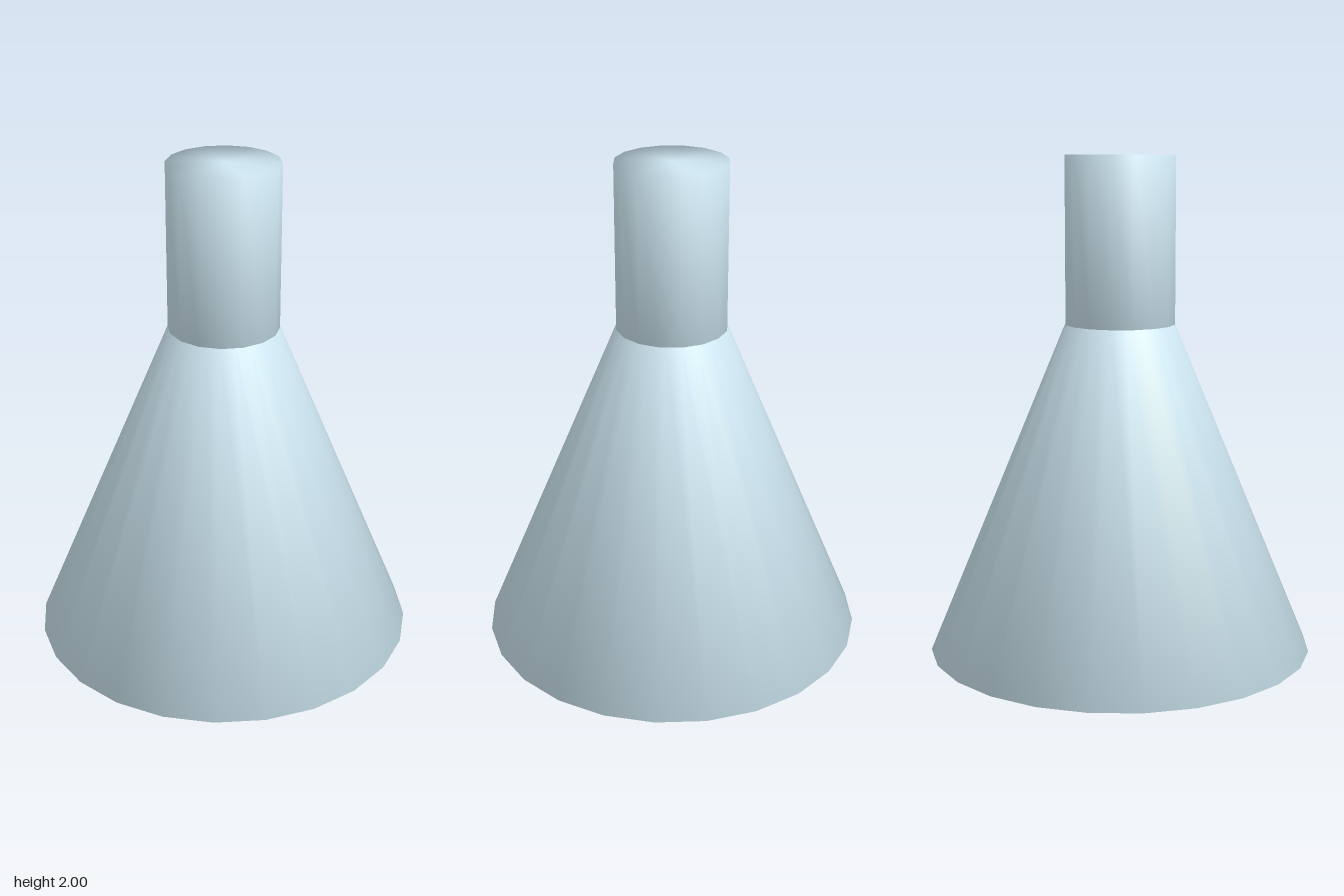
import * as THREE from 'three';

const glass = new THREE.MeshStandardMaterial({ color: 0xcfe8f3 });

// Closed round solid; the lathe blends normals softly over both rims
function taper(name, bottomRadius, topRadius, y0, y1, sides) {
  const profile = [[0, y0], [bottomRadius, y0], [topRadius, y1], [0, y1]]
    .map(([r, y]) => new THREE.Vector2(r, y));
  const mesh = new THREE.Mesh(new THREE.LatheGeometry(profile, sides), glass);
  mesh.name = name;
  return mesh;
}

export function createModel() {
  const flask = new THREE.Group();
  flask.name = 'flask';
  // Conical body
  flask.add(taper('body', 0.778, 0.222, 0, 1.333, 24));
  // Straight neck standing on the body
  flask.add(taper('neck', 0.222, 0.222, 1.333, 2, 16));
  return flask;
}
